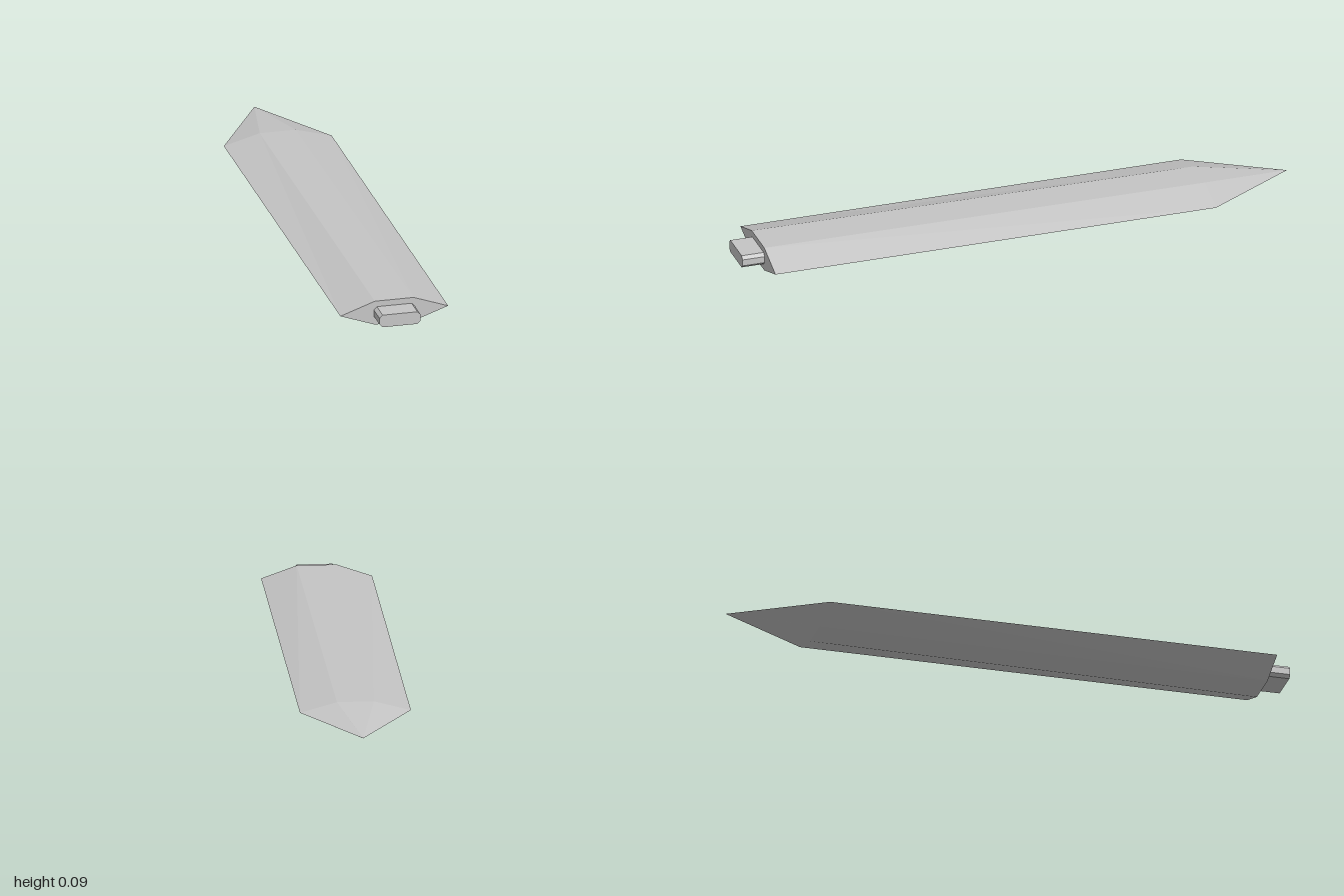
import * as THREE from 'three';

const MID = 0.0435; // height of the cutting edges

// Six-sided blade section, counter-clockwise seen from the front
const bladeSection = (z, w, flat, h) => [
  [w, 0], [flat, h], [-flat, h], [-w, 0], [-flat, -h], [flat, -h],
].map(([x, y]) => new THREE.Vector3(x, MID + y, z));

// Chamfered rectangle section for the tang
const tangSection = (z, w, h, c) => [
  [w, -h + c], [w, h - c], [w - c, h], [-w + c, h],
  [-w, h - c], [-w, -h + c], [-w + c, -h], [w - c, -h],
].map(([x, y]) => new THREE.Vector3(x, MID + y, z));

// Joins sections running from +z to -z and closes both ends
function loft(sections) {
  const pts = [];
  const n = sections[0].length;
  const last = sections[sections.length - 1];
  for (let i = 0; i < n; i++) {
    const j = (i + 1) % n;
    for (let s = 0; s < sections.length - 1; s++) {
      const a = sections[s], b = sections[s + 1];
      pts.push(a[i], b[i], a[j], a[j], b[i], b[j]);
    }
    if (i > 0 && i < n - 1) {
      pts.push(sections[0][0], sections[0][i], sections[0][j]);
      pts.push(last[0], last[j], last[i]);
    }
  }
  const geometry = new THREE.BufferGeometry().setFromPoints(pts);
  geometry.computeVertexNormals();
  return geometry;
}

export function createModel() {
  const group = new THREE.Group();
  group.name = 'bladeWithTang';

  const steel = new THREE.MeshStandardMaterial({ color: 0xc4c4c4 });
  steel.name = 'steel grey';

  // Blade: slightly thinner toward the shoulder, then a pointed tip
  const blade = new THREE.Mesh(loft([
    bladeSection(0.92, 0.192, 0.069, 0.0435),
    bladeSection(-0.68, 0.192, 0.064, 0.035),
    bladeSection(-1, 0.0005, 0.0002, 0.0002),
  ]), steel);
  blade.name = 'blade';

  // Short tang standing out of the blade base
  const tang = new THREE.Mesh(loft([
    tangSection(1, 0.073, 0.0225, 0.011),
    tangSection(0.915, 0.073, 0.0225, 0.011),
  ]), steel);
  tang.name = 'tang';

  group.add(blade, tang);
  return group;
}
